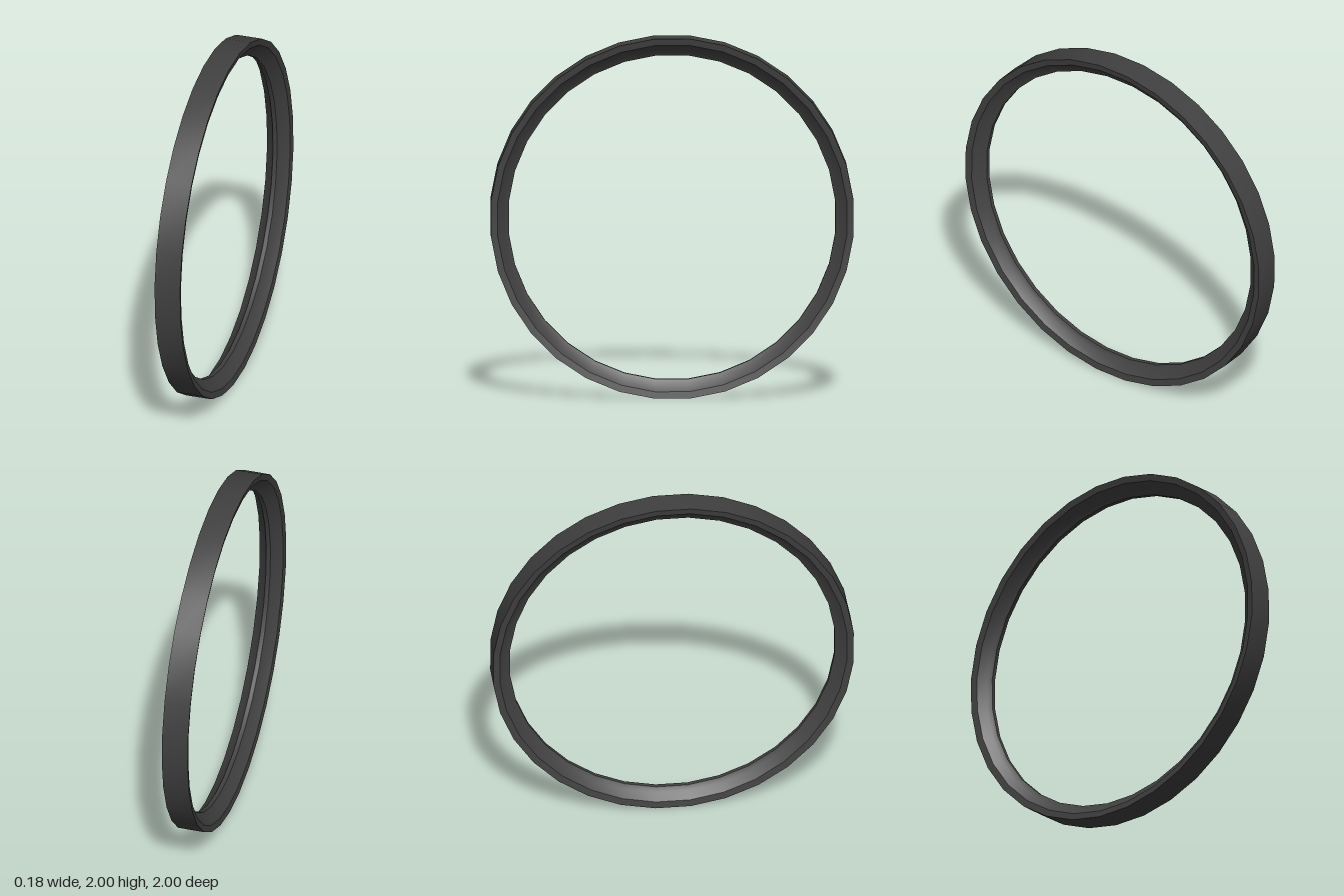
import * as THREE from 'three';
import { toCreasedNormals } from 'three/addons/utils/BufferGeometryUtils.js';

const SIDES = 32;
const TILT = 0.013;

export function createModel() {
  const group = new THREE.Group();
  group.name = 'ring';

  // Half of the cross-section as [radius, distance from the middle plane],
  // from the outer edge in to the lip
  const half = [[1.0, 0.074], [0.963, 0.067], [0.925, 0.026], [0.9, 0.012]];
  const grow = 1 / Math.cos(Math.PI / SIDES);
  const point = (r, d) => new THREE.Vector2(r * grow, d);
  const profile = [
    point(1.0, -0.074),
    ...half.map(([r, d]) => point(r, d)),
    ...half.slice().reverse().map(([r, d]) => point(r, -d)),
  ];

  // Ring turned about the x axis, leaning slightly to one side
  let geometry = new THREE.LatheGeometry(profile, SIDES, Math.PI / SIDES);
  geometry.rotateZ(-Math.PI / 2);
  geometry.rotateZ(TILT);
  geometry.rotateY(-TILT);
  geometry = toCreasedNormals(geometry, 0.4);

  const rim = new THREE.Mesh(
    geometry,
    new THREE.MeshStandardMaterial({ color: 0x404040 })
  );
  rim.name = 'rim';
  rim.position.y = 1;
  group.add(rim);
  return group;
}
